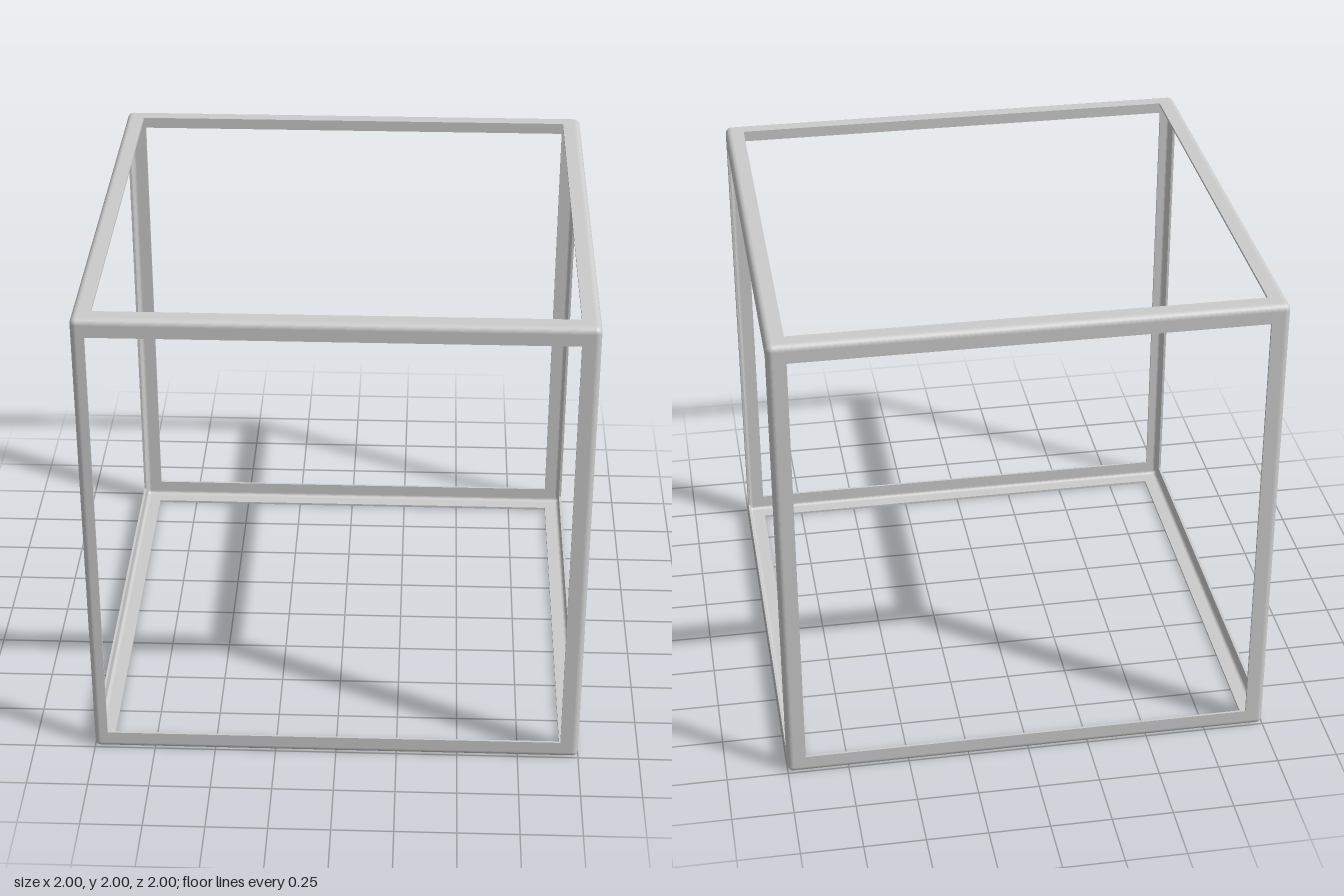
import * as THREE from 'three';

const R = 0.025;      // rounding of the outer edges
const T = 0.01;       // wall thickness
const C = 1 - R;      // where the flat walls end
const INNER = 0.925;  // half-size of each opening

const material = new THREE.MeshStandardMaterial({ color: 0xcccccc, side: THREE.DoubleSide });

// Square plate with a square opening, lying at z = 1
function faceFrame(openingLeft) {
  const shape = new THREE.Shape([[-C, -C], [C, -C], [C, C], [-C, C]].map(p => new THREE.Vector2(...p)));
  shape.holes.push(new THREE.Path([[openingLeft, -INNER], [openingLeft, INNER], [INNER, INNER], [INNER, -INNER]]
    .map(p => new THREE.Vector2(...p))));
  const geometry = new THREE.ExtrudeGeometry(shape, { depth: T, bevelEnabled: false });
  return geometry.translate(0, 0, 1 - T);
}

// Quarter-round strip along z that joins two plates
function edgeStrip() {
  const shape = new THREE.Shape();
  shape.absarc(0, 0, R, 0, Math.PI / 2, false);
  shape.absarc(0, 0, R - T, Math.PI / 2, 0, true);
  const geometry = new THREE.ExtrudeGeometry(shape, { depth: 2 * C, bevelEnabled: false, curveSegments: 5 });
  return geometry.translate(C, C, -C);
}

export function createModel() {
  const model = new THREE.Group();
  const frame = new THREE.Group();
  frame.name = 'cubeFrame';
  frame.position.y = 1;
  model.add(frame);

  const add = (geometry, name, rx = 0, ry = 0, rz = 0) => {
    const mesh = new THREE.Mesh(geometry, material);
    mesh.name = name;
    mesh.rotation.set(rx, ry, rz);
    frame.add(mesh);
  };
  const Q = Math.PI / 2;

  // Six open faces; the front opening is slightly wider on one side
  const plate = faceFrame(-INNER);
  add(faceFrame(-0.945), 'frontFace');
  add(plate, 'leftFace', 0, Q);
  add(plate, 'backFace', 0, 2 * Q);
  add(plate, 'rightFace', 0, -Q);
  add(plate, 'topFace', -Q);
  add(plate, 'bottomFace', Q);

  // Twelve rounded edges, four along each axis
  const alongZ = edgeStrip();
  const alongX = alongZ.clone().rotateY(Q);
  const alongY = alongZ.clone().rotateX(Q);
  for (let k = 0; k < 4; k++) {
    add(alongZ, 'depthEdge', 0, 0, k * Q);
    add(alongX, 'widthEdge', k * Q);
    add(alongY, 'uprightEdge', 0, k * Q);
  }

  // Eight rounded corners
  for (const side of [1, -1]) {
    const corner = new THREE.SphereGeometry(R, 6, 6, Q, Q, side > 0 ? 0 : Q, Q).translate(C, side * C, C);
    for (let k = 0; k < 4; k++) add(corner, side > 0 ? 'topCorner' : 'bottomCorner', 0, k * Q);
  }
  return model;
}
